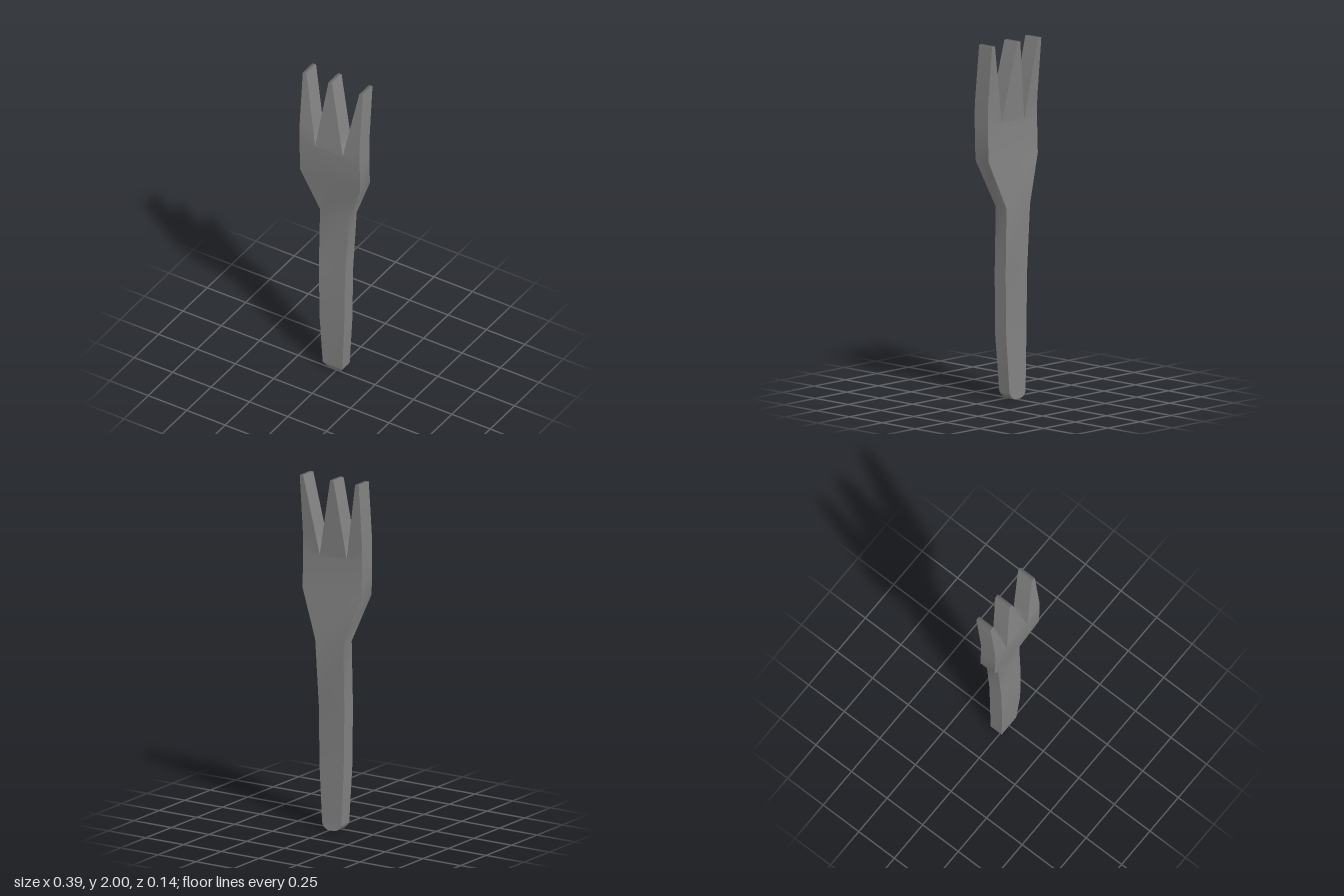
import * as THREE from 'three';
import { mergeVertices } from 'three/addons/utils/BufferGeometryUtils.js';

const { lerp } = THREE.MathUtils;
const NOTCH = 1.555;
const OUTER = 0.19;

// Side profile of the bent slab: [y, front z, back z]
const BEND = [
  [0, 0, -0.06], [0.04, 0.02, -0.057], [0.35, 0.032, -0.052], [0.7, 0.032, -0.052],
  [1.08, 0.012, -0.07], [1.35, 0.064, -0.036], [NOTCH, 0.07, -0.03],
  [1.66, 0.069, -0.032], [2, 0.036, -0.063],
];
// The inner tine edges run straight from notch to tip
const INNER_BEND = BEND.filter(([y]) => y !== 1.66);

function depthAt(x, y) {
  const bend = Math.abs(x) > OUTER ? BEND : INNER_BEND;
  let i = 0;
  while (i < bend.length - 2 && y > bend[i + 1][0]) i++;
  const [y0, f0, b0] = bend[i], [y1, f1, b1] = bend[i + 1];
  const t = (y - y0) / (y1 - y0);
  return [lerp(f0, f1, t), lerp(b0, b1, t)];
}

// Adds a slab through rows of [y, left edge x, right edge x], sorted into front, back and rim
function addSlab(faces, rows, capBottom, capTop) {
  const quad = (list, a, b, c, d) => list.push(...a, ...b, ...c, ...a, ...c, ...d);
  const rings = rows.map(([y, x0, x1]) => {
    const [f0, b0] = depthAt(x0, y), [f1, b1] = depthAt(x1, y);
    return [[x0, y, f0], [x1, y, f1], [x1, y, b1], [x0, y, b0]];
  });
  const sides = [faces.front, faces.rim, faces.back, faces.rim];
  for (let i = 0; i < rings.length - 1; i++) {
    sides.forEach((list, k) => {
      const n = (k + 1) % 4;
      quad(list, rings[i][k], rings[i][n], rings[i + 1][n], rings[i + 1][k]);
    });
  }
  if (capBottom) quad(faces.rim, ...[...rings[0]].reverse());
  if (capTop) quad(faces.rim, ...rings[rings.length - 1]);
}

export function createModel() {
  const group = new THREE.Group();
  group.name = 'fork';
  const faces = { front: [], back: [], rim: [] };

  // Handle with rounded end, neck and flared head up to the notches
  addSlab(faces, [
    [0, -0.035, 0.008], [0.008, -0.055, 0.028], [0.022, -0.07, 0.042], [0.04, -0.078, 0.05],
    [0.35, -0.09, 0.07], [0.7, -0.095, 0.075], [1.08, -0.1, 0.087],
    [1.35, -0.197, 0.194], [NOTCH, -0.197, 0.194],
  ], true, false);

  // Three tapering tines: base left, base right, tip left, tip right
  const tines = [
    [-0.197, -0.095, -0.197, -0.173],
    [-0.095, 0.084, -0.03, -0.007],
    [0.084, 0.194, 0.171, 0.194],
  ];
  for (const [b0, b1, t0, t1] of tines) {
    const rows = [NOTCH, 1.66, 2].map((y) => {
      const t = (y - NOTCH) / (2 - NOTCH);
      return [y, lerp(b0, t0, t), lerp(b1, t1, t)];
    });
    addSlab(faces, rows, false, true);
  }

  // Each surface is smooth in itself and meets the others at a sharp edge
  const material = new THREE.MeshStandardMaterial({ color: 0x828282 });
  for (const [name, positions] of Object.entries(faces)) {
    const raw = new THREE.BufferGeometry();
    raw.setAttribute('position', new THREE.Float32BufferAttribute(positions, 3));
    const geometry = mergeVertices(raw);
    geometry.computeVertexNormals();
    const mesh = new THREE.Mesh(geometry, material);
    mesh.name = name;
    group.add(mesh);
  }
  return group;
}
